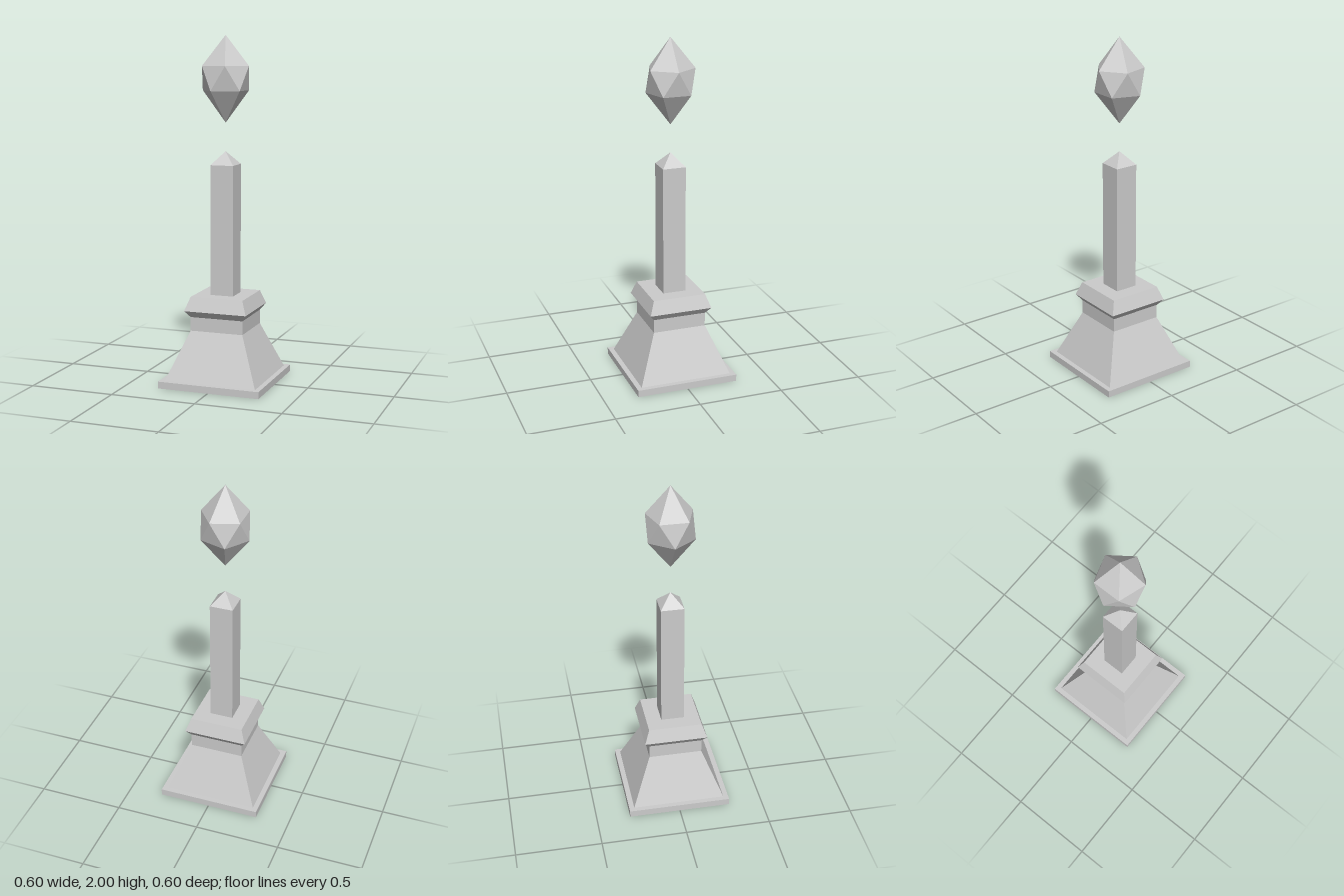
import * as THREE from 'three';

const material = new THREE.MeshStandardMaterial({ color: 0xcccccc, flatShading: true });

function addFaceted(group, name, geometry) {
  const faceted = geometry.index ? geometry.toNonIndexed() : geometry;
  faceted.computeVertexNormals();
  const mesh = new THREE.Mesh(faceted, material);
  mesh.name = name;
  group.add(mesh);
}

// Square-plan solid from [half width, height] pairs, listed bottom to top
function squareTurned(profile) {
  const points = profile.map(([half, y]) => new THREE.Vector2(half * Math.SQRT2, y));
  return new THREE.LatheGeometry(points, 4, Math.PI / 4);
}

// Gem with two five-point rings, the lower one turned by half a step
function gemGeometry(radius, bottomY, lowY, highY, topY) {
  const ring = (y, offset) => Array.from({ length: 5 }, (_, i) => {
    const a = (i + offset) * Math.PI * 2 / 5;
    return new THREE.Vector3(radius * Math.cos(a), y, -radius * Math.sin(a));
  });
  const high = ring(highY, 0), low = ring(lowY, 0.5);
  const top = new THREE.Vector3(0, topY, 0), bottom = new THREE.Vector3(0, bottomY, 0);
  const corners = [];
  for (let i = 0; i < 5; i++) {
    const j = (i + 1) % 5;
    corners.push(top, high[i], high[j]);
    corners.push(high[i], low[i], high[j]);
    corners.push(low[i], low[j], high[j]);
    corners.push(bottom, low[j], low[i]);
  }
  return new THREE.BufferGeometry().setFromPoints(corners);
}

export function createModel() {
  const model = new THREE.Group();
  model.name = 'obeliskWithFloatingGem';

  // Flat square slab on the ground
  const slab = new THREE.BoxGeometry(0.604, 0.04, 0.604);
  slab.translate(0, 0.02, 0);
  addFaceted(model, 'baseSlab', slab);

  // Flared pedestal, straight neck and bevelled cap
  addFaceted(model, 'pedestal', squareTurned([
    [0, 0.04], [0.272, 0.04], [0.157, 0.317], [0.157, 0.397],
    [0.186, 0.435], [0.157, 0.515], [0, 0.515],
  ]));

  // Square shaft with a pyramid tip
  addFaceted(model, 'shaft', squareTurned([
    [0, 0.515], [0.068, 0.515], [0.068, 1.267], [0, 1.343],
  ]));

  // Faceted gem hovering above the shaft
  addFaceted(model, 'floatingGem', gemGeometry(0.139, 1.506, 1.688, 1.827, 2));

  return model;
}
